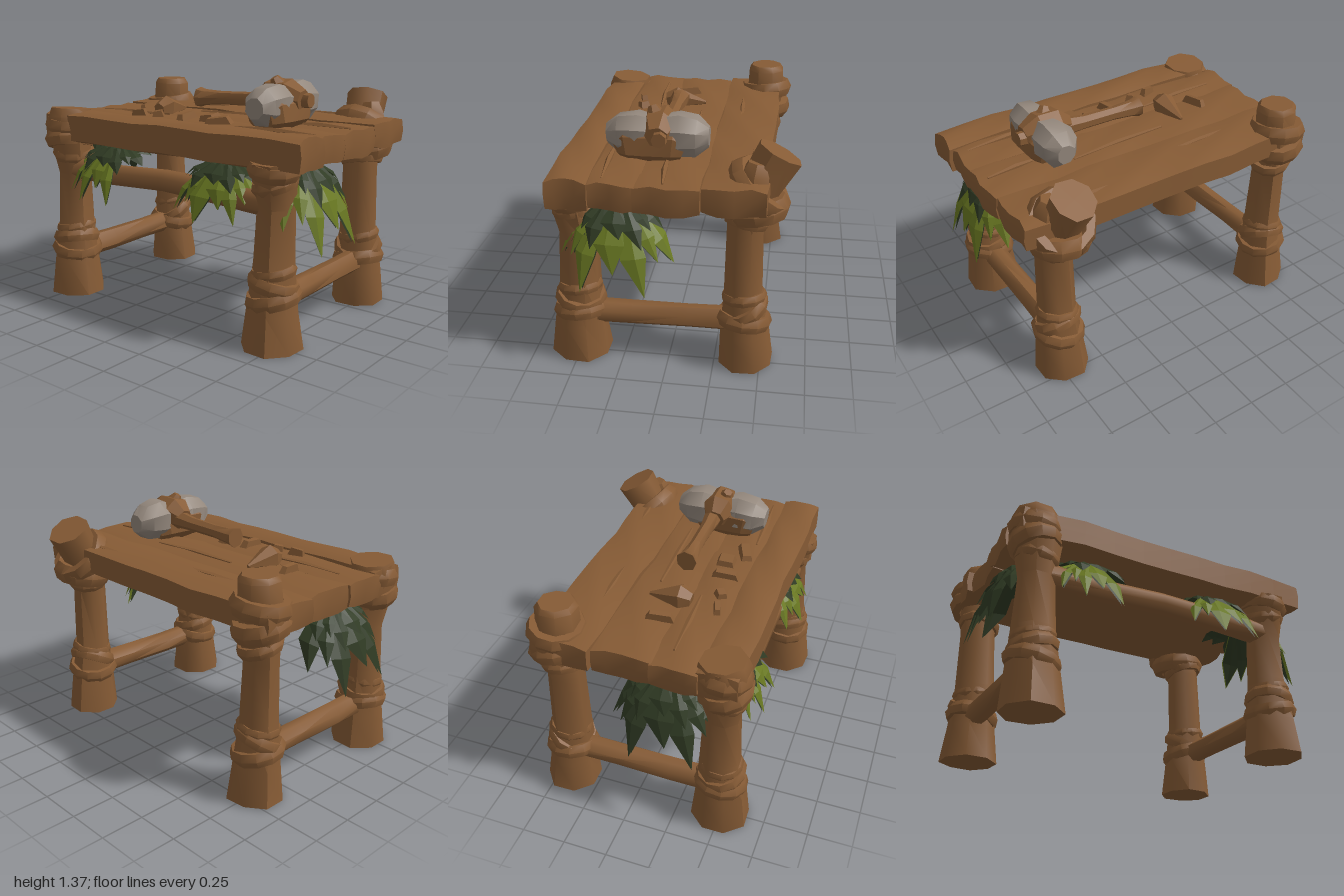
import * as THREE from 'three';
import { toCreasedNormals } from 'three/addons/utils/BufferGeometryUtils.js';

export function createModel() {
  const model = new THREE.Group();
  model.name = 'rusticTable';
  const mat = (name, color, extra = {}) => {
    const m = new THREE.MeshStandardMaterial({ color, ...extra });
    m.name = name;
    return m;
  };
  const wood = mat('wood', 0x865b35);
  const stone = mat('stone', 0x93877c);
  const darkLeaf = mat('darkLeaf', 0x303b24, { side: THREE.DoubleSide });
  const lightLeaf = mat('lightLeaf', 0x697822, { side: THREE.DoubleSide });

  let seed = 7;
  const rand = () => (seed = (seed * 16807) % 2147483647) / 2147483647;
  const add = (name, geo, material) => {
    const mesh = new THREE.Mesh(geo, material);
    mesh.name = name;
    model.add(mesh);
    return mesh;
  };

  // Capped log through sections [x, y, z, radius], with slightly uneven sides
  function loft(name, sections, { sides = 8, rough = 0.06, material = wood, crease = 0.85 } = {}) {
    const centres = sections.map(s => new THREE.Vector3(s[0], s[1], s[2]));
    const last = centres.length - 1;
    const along = centres[last].clone().sub(centres[0]).normalize();
    const ref = Math.abs(along.y) > 0.8 ? new THREE.Vector3(1, 0, 0) : new THREE.Vector3(0, 1, 0);
    const pos = [], idx = [];
    const ridge = Array.from({ length: sides }, () => 1 + (rand() - 0.5) * rough);
    centres.forEach((c, i) => {
      const t = centres[Math.min(i + 1, last)].clone().sub(centres[Math.max(i - 1, 0)]).normalize();
      const u = ref.clone().cross(t).normalize(), v = t.clone().cross(u);
      for (let j = 0; j < sides; j++) {
        const a = (j + 0.5) / sides * Math.PI * 2;
        const r = sections[i][3] * ridge[j] * (1 + (rand() - 0.5) * rough);
        const p = c.clone().addScaledVector(u, Math.cos(a) * r).addScaledVector(v, Math.sin(a) * r);
        pos.push(p.x, Math.max(0, p.y), p.z);
      }
    });
    for (let i = 0; i < last; i++) for (let j = 0; j < sides; j++) {
      const k = (j + 1) % sides, a = i * sides + j, b = i * sides + k;
      idx.push(a, b, a + sides, b, b + sides, a + sides);
    }
    const n = pos.length / 3, e = last * sides;
    pos.push(...centres[0].toArray(), ...centres[last].toArray());
    for (let j = 0; j < sides; j++) {
      const k = (j + 1) % sides;
      idx.push(n, k, j, n + 1, e + j, e + k);
    }
    const geo = new THREE.BufferGeometry();
    geo.setAttribute('position', new THREE.Float32BufferAttribute(pos, 3));
    geo.setIndex(idx);
    return add(name, toCreasedNormals(geo, crease), material);
  }

  // Worn plank: a box with softened edges and wavy sides
  function plank(x0, x1, y0, y1, z0, z1, phase) {
    const w = x1 - x0, h = y1 - y0, d = z1 - z0;
    const geo = new THREE.BoxGeometry(w, h, d, 10, 2, 4);
    const p = geo.attributes.position;
    for (let i = 0; i < p.count; i++) {
      let x = p.getX(i), y = p.getY(i), z = p.getZ(i);
      const edge = Math.abs(z) > d * 0.49, end = Math.abs(x) > w * 0.49, rim = Math.abs(y) > h * 0.49;
      const wave = Math.sin(x * 7 + phase) + 0.6 * Math.sin(x * 17 + phase * 2 + z * 9);
      if (edge && rim) y *= 0.84;
      if (end && rim) { y *= 0.95; x *= 0.99; }
      if (end) x += 0.01 * Math.sin(z * 23 + phase);
      if (edge) z += 0.006 * wave;
      if (rim) y += 0.005 * Math.sin(x * 11 + z * 25 + phase);
      p.setXYZ(i, x, y, z);
    }
    geo.translate((x0 + x1) / 2, (y0 + y1) / 2, (z0 + z1) / 2);
    add('tabletopPlank', toCreasedNormals(geo, 0.6), wood);
  }
  plank(-0.91, 0.93, 0.96, 1.115, -0.515, -0.19, 0.4);
  plank(-0.88, 0.935, 0.945, 1.105, -0.186, 0.142, 1.9);
  plank(-0.9, 0.925, 0.955, 1.105, 0.13, 0.392, 3.1);
  plank(-0.89, 0.935, 0.945, 1.122, 0.384, 0.595, 4.6);

  // Legs, flared at the foot
  loft('frontLeftPost', [[-0.75, 0, 0.495, 0.165], [-0.75, 0.2, 0.495, 0.142], [-0.755, 0.45, 0.485, 0.112],
    [-0.75, 0.75, 0.485, 0.1], [-0.76, 0.95, 0.5, 0.13], [-0.77, 1.08, 0.49, 0.14], [-0.77, 1.135, 0.485, 0.125]]);
  loft('frontRightPost', [[0.72, 0, 0.495, 0.165], [0.72, 0.2, 0.495, 0.14], [0.72, 0.45, 0.485, 0.11],
    [0.725, 0.75, 0.48, 0.1], [0.73, 0.88, 0.5, 0.115], [0.73, 0.98, 0.5, 0.13]]);
  loft('backLeftPost', [[-0.75, 0, -0.42, 0.16], [-0.75, 0.2, -0.41, 0.135], [-0.755, 0.45, -0.4, 0.11],
    [-0.76, 0.8, -0.4, 0.1], [-0.76, 1.1, -0.42, 0.12], [-0.755, 1.225, -0.42, 0.115], [-0.755, 1.255, -0.42, 0.095]]);
  loft('backRightPost', [[0.72, 0, -0.42, 0.155], [0.72, 0.2, -0.41, 0.135], [0.72, 0.45, -0.4, 0.108],
    [0.72, 0.82, -0.4, 0.1], [0.72, 0.98, -0.42, 0.11]]);
  loft('backRightPostTop', [[0.71, 0.88, -0.4, 0.1], [0.69, 1.05, -0.47, 0.11], [0.67, 1.22, -0.56, 0.12]]);
  loft('backRightPeg', [[0.77, 1.02, -0.44, 0.08], [0.76, 1.13, -0.44, 0.08], [0.75, 1.19, -0.45, 0.05]], { sides: 6 });

  // Cross beams
  for (const x of [-0.76, 0.73])
    loft('sideStretcher', [[x, 0.255, 0.5, 0.07], [x, 0.255, 0.2, 0.068], [x, 0.26, -0.1, 0.066], [x, 0.265, -0.42, 0.07]]);
  loft('frontBeam', [[-0.75, 0.78, 0.5, 0.07], [-0.4, 0.77, 0.5, 0.062], [0, 0.79, 0.5, 0.062],
    [0.4, 0.775, 0.5, 0.065], [0.72, 0.76, 0.5, 0.07]]);

  // Bindings wound round the joints
  function binding(x, y, z, r, tube, tiltX, tiltZ) {
    const geo = new THREE.TorusGeometry(r, tube, 6, 11);
    geo.rotateX(Math.PI / 2);
    geo.scale(1, 1.35, 1);
    geo.rotateX(tiltX);
    geo.rotateZ(tiltZ);
    geo.translate(x, y, z);
    add('binding', toCreasedNormals(geo, 0.8), wood);
  }
  for (const [x, z] of [[-0.755, 0.49], [0.725, 0.49], [-0.755, -0.405], [0.725, -0.405]]) {
    const s = Math.sign(x), f = Math.sign(z);
    binding(x, 0.27, z, 0.122, 0.034, 0.1 * f, 0.2 * s);
    binding(x, 0.34, z, 0.112, 0.032, f > 0 ? -0.15 : 0.5, -0.22 * s);
    binding(x, 0.41, z, 0.1, 0.024, 0.1, 0.15);
    binding(x, 0.87, z, 0.1, 0.028, 0.2 * f, 0.2 * s);
  }
  binding(-0.77, 1.09, -0.42, 0.125, 0.042, 0.1, 0.1);
  binding(-0.775, 0.99, -0.42, 0.12, 0.045, -0.2, -0.15);
  binding(-0.77, 1.04, 0.49, 0.115, 0.04, 0.1, -0.12);
  binding(-0.77, 0.95, 0.5, 0.112, 0.042, -0.2, 0.2);
  binding(0.73, 0.95, 0.5, 0.11, 0.035, 0.15, -0.15);
  binding(0.71, 0.93, -0.45, 0.13, 0.048, 0.15, 0.1);
  binding(0.7, 1.03, -0.46, 0.15, 0.045, -0.75, -0.1);

  // Drooping leaf cluster: a jagged dome over broad hanging leaves lined with dark ones
  function leafCluster(x, y, z, yaw, width, depth, drop, tipMaterial, from, to) {
    const group = new THREE.Group();
    group.name = 'leafCluster';
    group.position.set(x, y, z);
    group.rotation.y = yaw;
    const soft = v => Math.sign(v) * Math.pow(Math.abs(v), 0.75);
    const layer = (name, count, a0, a1, reach, inset, material) => {
      const at = (a, r, lift = 0) => [soft(Math.sin(a)) * width * r * (1 - inset + lift),
        -drop * (0.72 + 0.28 * Math.cos(a)) * Math.pow(r, 2.7) - inset * 0.25 + lift * 0.2,
        soft(Math.cos(a)) * depth * Math.pow(r, 0.85) * (1 - inset + lift)];
      const pos = [], step = (a1 - a0) / count;
      for (let i = 0; i < count; i++) {
        const m = a0 + (i + 0.5) * step, w = step * 0.6;
        const tip = reach * (0.88 + 0.12 * Math.cos(m)) * (i % 2 ? 0.88 : 1);
        const top = at(m, 0), end = at(m + step * 0.2, tip);
        const [[a, ar, b], [c, cr, d]] = [0.4, 0.8].map(k => [at(m - w, tip * k), at(m, tip * k, 0.03), at(m + w, tip * k)]);
        for (const q of [top, a, ar, top, ar, b, a, c, cr, a, cr, ar, ar, cr, d, ar, d, b, c, end, cr, cr, end, d]) pos.push(...q);
      }
      const geo = new THREE.BufferGeometry();
      geo.setAttribute('position', new THREE.Float32BufferAttribute(pos, 3));
      geo.computeVertexNormals();
      const mesh = new THREE.Mesh(geo, material);
      mesh.name = name;
      group.add(mesh);
    };
    layer('upperLeaves', 11, -2.2, 2.2, 0.78, 0, darkLeaf);
    layer('hangingLeaves', 7, from, to, 1.03, 0.05, tipMaterial);
    layer('liningLeaves', 7, from, to, 1.01, 0.09, darkLeaf);
    model.add(group);
  }
  leafCluster(0.7, 0.95, 0.26, Math.PI / 2, 0.35, 0.3, 0.42, lightLeaf, -1.5, 1.35);
  leafCluster(-0.7, 0.95, 0.19, -Math.PI / 2, 0.35, 0.3, 0.42, darkLeaf, -1.5, 1.5);
  leafCluster(0.38, 0.935, 0.4, 0, 0.34, 0.27, 0.27, lightLeaf, -0.9, 1.2);
  leafCluster(-0.43, 0.935, 0.4, 0, 0.34, 0.27, 0.28, lightLeaf, -1.3, 0.3);

  // Stone hammer lying on the table
  const flat = { crease: 0.3, rough: 0.1 };
  const worn = { crease: 0.62, rough: 0.12, material: stone };
  loft('hammerHandle', [[-0.115, 1.21, 0.06, 0.062], [-0.07, 1.21, 0.06, 0.05], [0.05, 1.215, 0.06, 0.04],
    [0.25, 1.22, 0.06, 0.042], [0.38, 1.23, 0.06, 0.055], [0.66, 1.24, 0.06, 0.04]], { sides: 7 });
  loft('hammerHeadBack', [[0.5, 1.22, -0.185, 0.055], [0.5, 1.22, -0.12, 0.107], [0.5, 1.225, -0.03, 0.122],
    [0.5, 1.22, 0.08, 0.1]], worn);
  loft('hammerHeadFront', [[0.5, 1.22, 0.08, 0.1], [0.5, 1.225, 0.19, 0.122], [0.495, 1.22, 0.29, 0.11],
    [0.495, 1.215, 0.355, 0.06]], worn);
  loft('hammerCradle', [[0.5, 1.16, -0.06, 0.09], [0.5, 1.185, 0.0, 0.122], [0.5, 1.185, 0.16, 0.124],
    [0.495, 1.185, 0.24, 0.123], [0.49, 1.16, 0.3, 0.09]], { ...flat, rough: 0.12 });
  loft('hammerLashing', [[0.35, 1.23, 0.075, 0.06], [0.42, 1.25, 0.075, 0.1], [0.53, 1.25, 0.075, 0.1],
    [0.62, 1.24, 0.075, 0.06]], { ...flat, sides: 7 });
  loft('hammerKnot', [[0.5, 1.22, 0.05, 0.06], [0.48, 1.31, 0.1, 0.055], [0.46, 1.36, 0.12, 0.025]], { ...flat, sides: 6 });

  // Wood chips and splinters on the tabletop
  loft('carvedPoint', [[-0.34, 1.125, 0.17, 0.04], [-0.34, 1.135, 0.11, 0.072], [-0.34, 1.115, -0.07, 0.01]],
    { ...flat, sides: 6 });
  for (const [x, z, w, d, turn] of [[-0.53, 0.06, 0.04, 0.16, 0.2], [-0.23, 0.3, 0.07, 0.06, 0.6], [-0.36, 0.32, 0.1, 0.04, 0.3],
    [-0.04, 0.27, 0.05, 0.16, 0.1], [0.1, 0.23, 0.1, 0.11, 0.1], [0.22, 0.31, 0.16, 0.07, 0.4]]) {
    const chip = add('woodChip', new THREE.CylinderGeometry(0.5, 0.7, 0.045, 4, 1).rotateY(Math.PI / 4).toNonIndexed(), wood);
    chip.geometry.computeVertexNormals();
    chip.scale.set(w, 1, d);
    chip.position.set(x, 1.12, z);
    chip.rotation.set(0.08, turn, 0.12);
  }
  for (const [x, z, w] of [[-0.3, -0.3, 0.8], [0.5, -0.42, 0.5], [0.1, -0.07, 0.6], [0.7, 0.02, 0.35], [-0.5, 0.21, 0.5], [0.6, 0.33, 0.5]])
    loft('splinter', [[x - w / 2, 1.102, z + 0.01, 0.008], [x, 1.104, z, 0.018], [x + w / 2, 1.102, z - 0.015, 0.006]], { sides: 5 });

  return model;
}
